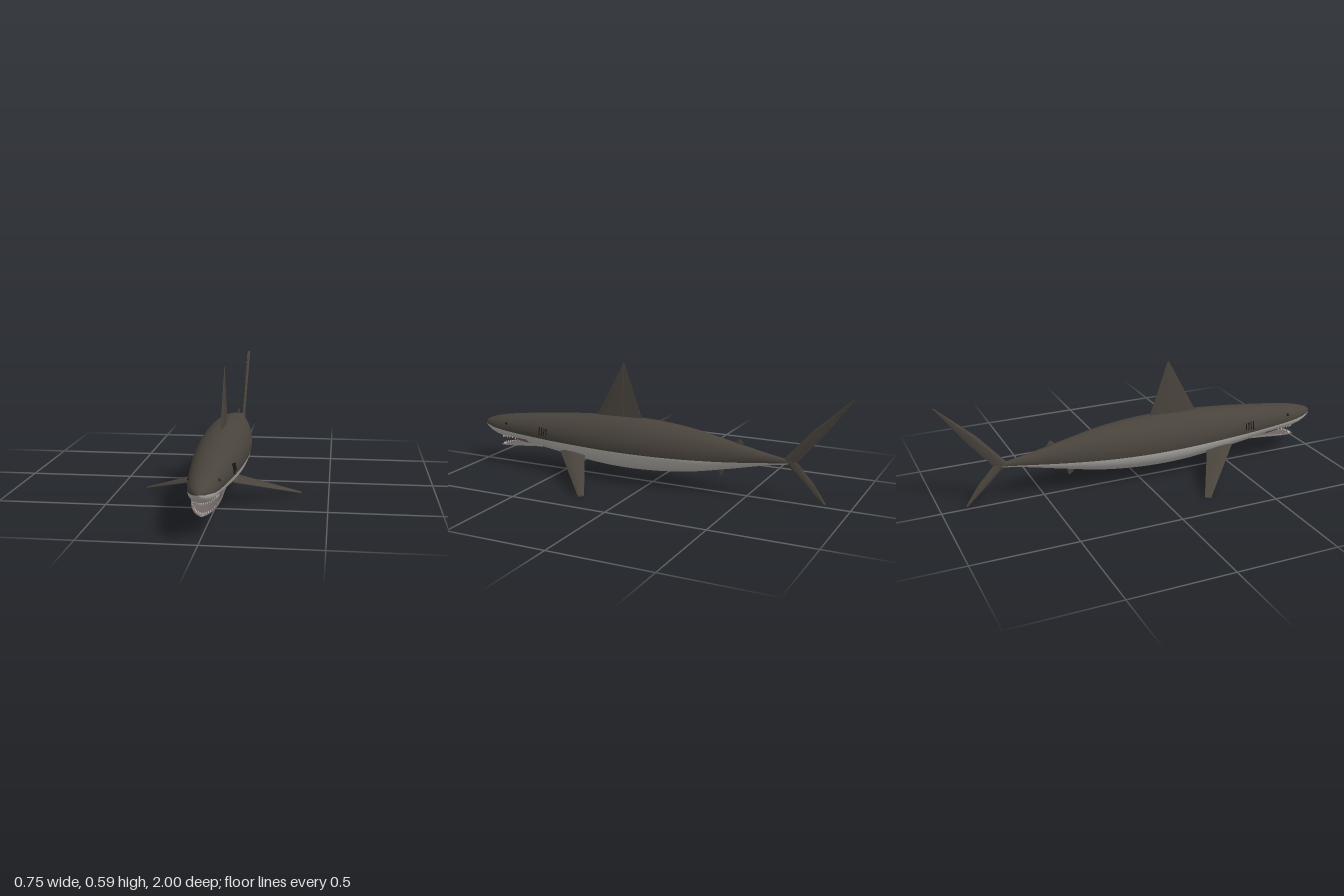
import * as THREE from 'three';
import { toCreasedNormals } from 'three/addons/utils/BufferGeometryUtils.js';

const material = (name, color, side = THREE.FrontSide) => {
  const m = new THREE.MeshStandardMaterial({ color, side });
  m.name = name;
  return m;
};
const V = (x, y, z) => new THREE.Vector3(x, y, z);

// Body stations: z, top, bottom, half width, height of the colour line
const STATIONS = [
  [1, 0.208, 0.202, 0.003, 0.204], [0.985, 0.222, 0.183, 0.022, 0.2], [0.95, 0.236, 0.162, 0.042, 0.197],
  [0.9, 0.25, 0.144, 0.058, 0.19], [0.8, 0.267, 0.13, 0.073, 0.182], [0.6, 0.291, 0.106, 0.096, 0.174],
  [0.4, 0.31, 0.08, 0.112, 0.17], [0.2, 0.32, 0.063, 0.119, 0.166], [0, 0.319, 0.065, 0.116, 0.165],
  [-0.2, 0.301, 0.084, 0.092, 0.165], [-0.4, 0.264, 0.123, 0.052, 0.168], [-0.6, 0.224, 0.167, 0.02, 0.182],
  [-0.72, 0.204, 0.187, 0.006, 0.193],
];

// Smooth interpolation of the stations at any z
function bodyAt(z) {
  const S = STATIONS, last = S.length - 1;
  let i = 0;
  while (i < last - 1 && z < S[i + 1][0]) i++;
  const dz = S[i + 1][0] - S[i][0], t = (z - S[i][0]) / dz;
  const slope = (k, c) => {
    const a = S[Math.max(k - 1, 0)], b = S[Math.min(k + 1, last)];
    return (b[c] - a[c]) / (b[0] - a[0]);
  };
  const [top, bottom, w, line] = [1, 2, 3, 4].map((c) =>
    S[i][c] * (2 * t ** 3 - 3 * t * t + 1) + S[i + 1][c] * (3 * t * t - 2 * t ** 3)
    + dz * (slope(i, c) * (t ** 3 - 2 * t * t + t) + slope(i + 1, c) * (t ** 3 - t * t)));
  return { cy: (top + bottom) / 2, h: (top - bottom) / 2, w, line };
}
function skin(z, a, lift = 0) {
  const b = bodyAt(z);
  return V((b.w + lift) * Math.cos(a), b.cy + (b.h + lift) * Math.sin(a), z);
}

// Skin closed rings of points; strips from index `split` on use the second material
function loft(rings, split = Infinity) {
  const n = rings[0].length, pos = [], first = [], second = [];
  rings.forEach((r) => r.forEach((p) => pos.push(p.x, p.y, p.z)));
  for (let i = 0; i < rings.length - 1; i++) {
    for (let j = 0; j < n; j++) {
      const a = i * n + j, b = i * n + (j + 1) % n, c = a + n, d = b + n;
      (j < split ? first : second).push(a, c, b, b, c, d);
    }
  }
  [0, rings.length - 1].forEach((i) => {
    const mid = rings[i].reduce((s, p) => s.add(p), V(0, 0, 0)).divideScalar(n);
    const k = pos.length / 3;
    pos.push(mid.x, mid.y, mid.z);
    for (let j = 0; j < n; j++) {
      const a = i * n + j, b = i * n + (j + 1) % n;
      first.push(k, ...(i === 0 ? [a, b] : [b, a]));
    }
  });
  const g = new THREE.BufferGeometry();
  g.setAttribute('position', new THREE.Float32BufferAttribute(pos, 3));
  g.setIndex([...first, ...second]);
  g.addGroup(0, first.length, 0);
  if (second.length) g.addGroup(first.length, second.length, 1);
  g.computeVertexNormals();
  return g;
}

// Fin from sections of [leading point, trailing point, half thickness]
function finGeometry(sections) {
  const mid = (s) => s[0].clone().add(s[1]).multiplyScalar(0.5);
  const chord = sections[0][0].clone().sub(sections[0][1]);
  const span = mid(sections[sections.length - 1]).sub(mid(sections[0]));
  const n = chord.cross(span).normalize();
  const rings = sections.map(([lead, trail, t]) =>
    [[0, 0.15], [0.25, 1], [0.6, 1], [1, 0.15], [1, -0.15], [0.6, -1], [0.25, -1], [0, -0.15]].map(([u, k]) =>
      lead.clone().lerp(trail, u).addScaledVector(n, k * t)));
  return toCreasedNormals(loft(rings), 0.4);
}

export function createModel() {
  const group = new THREE.Group();
  group.name = 'shark';
  const back = material('back brown grey', 0x49433c);
  const belly = material('belly pale grey', 0xb6b3ae);
  const mouth = material('mouth grey', 0x6e6563, THREE.DoubleSide);
  const tooth = material('tooth white', 0xd9d7d0);
  const dark = material('eye and gill dark', 0x1d1a18);
  const add = (name, geometry, mat, parent = group) => {
    const m = new THREE.Mesh(geometry, mat);
    m.name = name;
    parent.add(m);
    return m;
  };

  // Body: dark back above the colour line, pale belly below
  const HALF = 24, RINGS = 90, rings = [];
  for (let i = 0; i <= RINGS; i++) {
    const z = 1 - 1.72 * (i / RINGS) ** 1.5, b = bodyAt(z);
    const phi = Math.asin(THREE.MathUtils.clamp((b.line - b.cy) / b.h, -0.9, 0.9));
    const ring = [];
    for (let j = 0; j < HALF; j++) ring.push(skin(z, phi + (Math.PI - 2 * phi) * j / HALF));
    for (let j = 0; j < HALF; j++) ring.push(skin(z, Math.PI - phi + (Math.PI + 2 * phi) * j / HALF));
    rings.push(ring);
  }
  add('body', loft(rings, HALF), [back, belly]);

  // Lower jaw: shallow scoop hanging open under the snout
  const ARC = 16, jaw = [];
  for (let i = 0; i <= 20; i++) {
    const s = (i / 20) ** 1.6, z = 0.9 - 0.28 * s;
    const w = 0.004 + 0.062 * Math.sqrt(1 - (1 - Math.min(s * 1.5, 1)) ** 2);
    const rim = 0.094 + 0.042 * Math.sin(s * Math.PI / 2), deep = rim - (0.086 + 0.025 * s);
    const ring = [];
    for (let j = 0; j <= ARC; j++) {
      const a = Math.PI * (1 + j / ARC);
      ring.push(V(w * Math.cos(a), rim + deep * Math.sin(a), z));
    }
    for (let j = ARC; j >= 0; j--) {
      const a = Math.PI * (1 + j / ARC);
      ring.push(V(w * 0.88 * Math.cos(a), rim + deep * 0.55 * Math.sin(a), z));
    }
    jaw.push(ring);
  }
  add('lowerJaw', toCreasedNormals(loft(jaw, ARC), 0.8), [belly, mouth]);

  // Roof of the mouth: thin patch on the underside of the snout
  const roof = new THREE.PlaneGeometry(1, 1, 16, 10), rp = roof.attributes.position;
  for (let i = 0; i < rp.count; i++) {
    const v = rp.getY(i) + 0.5, spread = 0.95 * Math.sqrt(1 - v * v * 0.9);
    const p = skin(0.7 + 0.19 * v, Math.PI * 1.5 + rp.getX(i) * 2 * spread, 0.002);
    rp.setXYZ(i, p.x, p.y, p.z);
  }
  roof.computeVertexNormals();
  add('mouthRoof', roof, mouth);

  // Teeth along both jaws
  const teeth = new THREE.Group();
  teeth.name = 'teeth';
  group.add(teeth);
  const cone = new THREE.ConeGeometry(0.004, 0.016, 5);
  for (let i = -9; i <= 9; i++) {
    const a = i / 9 * 1.35, z = 0.75 + 0.145 * Math.cos(a);
    const up = skin(z, Math.PI * 1.5 + Math.asin(Math.min(0.056 / bodyAt(z).w, 0.8) * Math.sin(a)));
    const upper = add('upperTooth', cone, tooth, teeth);
    upper.position.set(up.x, up.y - 0.005, z);
    upper.rotation.x = Math.PI;
    const s = (0.885 - 0.13 * (1 - Math.cos(a)));
    const lower = add('lowerTooth', cone, tooth, teeth);
    lower.position.set(0.055 * Math.sin(a), 0.098 + 0.19 * (0.885 - s), s);
    lower.scale.setScalar(0.75);
  }

  // Upright fins
  const P = (z, y) => V(0, y, z);
  add('dorsalFin', finGeometry([
    [P(0.32, 0.3), P(0.055, 0.3), 0.009], [P(0.163, 0.59), P(0.156, 0.59), 0.002]]), back);
  add('secondDorsalFin', finGeometry([
    [P(-0.41, 0.235), P(-0.49, 0.235), 0.006], [P(-0.455, 0.276), P(-0.465, 0.276), 0.003]]), back);
  add('analFin', finGeometry([
    [P(-0.32, 0.125), P(-0.385, 0.135), 0.006], [P(-0.362, 0.084), P(-0.372, 0.086), 0.003]]), back);
  add('upperTailLobe', finGeometry([
    [P(-0.665, 0.195), P(-0.735, 0.19), 0.008], [P(-0.81, 0.36), P(-0.872, 0.353), 0.008],
    [P(-0.985, 0.518), P(-1, 0.524), 0.008]]), back);
  add('lowerTailLobe', finGeometry([
    [P(-0.67, 0.205), P(-0.735, 0.205), 0.008], [P(-0.772, 0.106), P(-0.82, 0.112), 0.008],
    [P(-0.873, 0.018), P(-0.884, 0.017), 0.008]]), back);

  // Paired parts
  for (const s of [1, -1]) {
    const side = s > 0 ? 'left' : 'right';
    add(side + 'PectoralFin', finGeometry([
      [V(s * 0.08, 0.121, 0.49), V(s * 0.08, 0.121, 0.345), 0.011],
      [V(s * 0.373, 0.004, 0.215), V(s * 0.357, 0.007, 0.19), 0.004]]), back);

    const eye = add(side + 'Eye', new THREE.SphereGeometry(0.008, 16, 10), dark);
    eye.position.copy(skin(0.83, s > 0 ? 0.4 : Math.PI - 0.4, -0.003));

    for (let i = 0; i < 4; i++) {
      const z = 0.605 - i * 0.015, a = 0.16;
      const gill = add(side + 'GillSlit', new THREE.BoxGeometry(0.006, 0.045 - i * 0.004, 0.004), dark);
      gill.position.copy(skin(z, s > 0 ? a : Math.PI - a));
      gill.rotation.z = s * a;
    }
  }
  return group;
}
